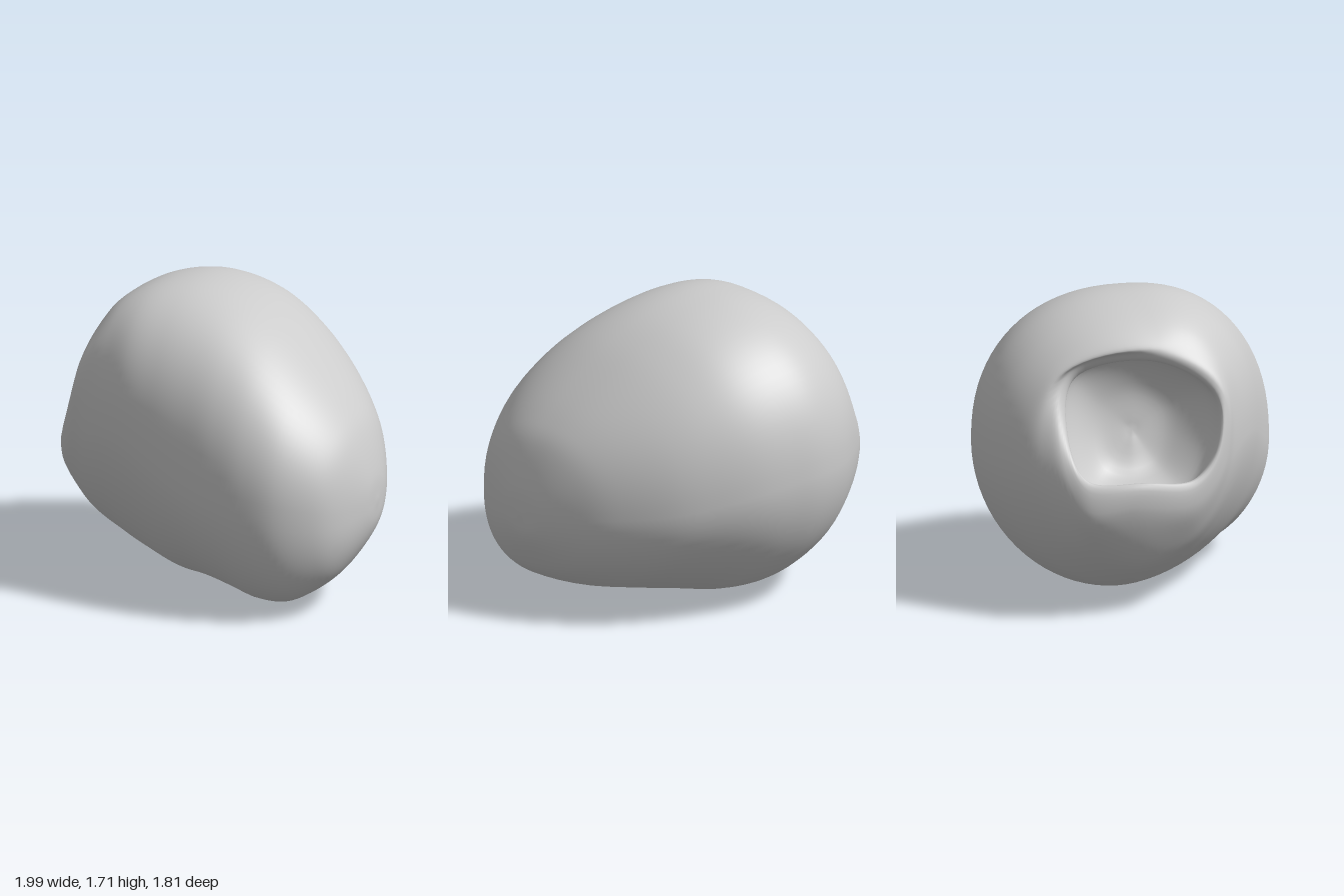
import * as THREE from 'three';

const SIDES = 80, STEPS = 100;

// Body slices across x: [x, yTop, zTop, yFront, zFront, yBottom, zBottom, yRear, zRear]
const slices = [
  [0.985, 0.77, 0.28, 0.61, 0.43, 0.48, 0.28, 0.64, 0.12],
  [0.9, 1.02, 0.24, 0.59, 0.65, 0.31, 0.38, 0.66, -0.12],
  [0.8, 1.16, 0.2, 0.61, 0.77, 0.19, 0.44, 0.68, -0.3],
  [0.6, 1.36, 0.14, 0.64, 0.88, 0.07, 0.5, 0.72, -0.55],
  [0.4, 1.52, 0.08, 0.66, 0.9, 0.03, 0.38, 0.77, -0.71],
  [0.2, 1.63, 0.02, 0.69, 0.87, 0.02, 0.15, 0.81, -0.82],
  [0, 1.69, 0, 0.74, 0.81, 0.005, -0.05, 0.84, -0.88],
  [-0.2, 1.705, 0, 0.83, 0.74, 0.005, -0.1, 0.85, -0.905],
  [-0.4, 1.67, 0.03, 0.92, 0.66, 0.06, -0.13, 0.85, -0.87],
  [-0.56, 1.59, 0.06, 0.93, 0.57, 0.125, -0.14, 0.85, -0.79],
];

// Mouth loops, eight points each, from the top round by the front
const loops = [
  // cheek around the mouth
  [[-0.66, 1.5, 0.05], [-0.66, 1.36, 0.4], [-0.71, 0.86, 0.46], [-0.77, 0.46, 0.25],
    [-0.82, 0.31, -0.08], [-0.84, 0.45, -0.43], [-0.74, 0.86, -0.65], [-0.62, 1.35, -0.53]],
  // outer edge of the lip
  [[-0.67, 1.46, 0.05], [-0.74, 1.26, 0.39], [-0.8, 0.87, 0.4], [-0.91, 0.63, 0.2],
    [-0.99, 0.65, -0.17], [-0.95, 0.63, -0.42], [-0.79, 0.97, -0.55], [-0.58, 1.37, -0.44]],
  // rim
  [[-0.64, 1.42, 0.03], [-0.74, 1.23, 0.36], [-0.83, 0.94, 0.35], [-0.9, 0.79, 0.2],
    [-0.965, 0.81, -0.1], [-0.9, 0.82, -0.41], [-0.74, 1.03, -0.49], [-0.54, 1.32, -0.41]],
  // hollow walls
  [[-0.45, 1.4, 0], [-0.54, 1.21, 0.33], [-0.6, 0.9, 0.33], [-0.72, 0.7, 0.18],
    [-0.8, 0.69, -0.1], [-0.74, 0.7, -0.37], [-0.55, 0.97, -0.47], [-0.4, 1.28, -0.38]],
  // back of the hollow
  [[-0.34, 1.19, -0.02], [-0.37, 1.09, 0.16], [-0.41, 0.92, 0.17], [-0.46, 0.76, 0.1],
    [-0.49, 0.71, -0.06], [-0.46, 0.75, -0.22], [-0.39, 0.94, -0.27], [-0.34, 1.11, -0.22]],
];

// Four quarter ovals joined at the slice's extreme points, fullest on top
function slicePoint([x, yT, zT, yF, zF, yB, zB, yR, zR], t) {
  const cos = Math.cos(t * Math.PI * 2), sin = Math.sin(t * Math.PI * 2);
  const [ySide, zSide] = sin >= 0 ? [yF, zF] : [yR, zR];
  const [yEnd, zEnd] = cos >= 0 ? [yT, zT] : [yB, zB];
  const power = cos >= 0 ? 0.88 : sin >= 0 ? 1 - 0.2 * x : 1.03;
  const c = Math.abs(cos) ** power, s = Math.abs(sin) ** power;
  return new THREE.Vector3(x, ySide + (yEnd - ySide) * c, zEnd + (zSide - zEnd) * s);
}

function bodyGeometry() {
  const mouth = loops.map((l) => new THREE.CatmullRomCurve3(l.map((p) => new THREE.Vector3(...p)), true));
  const pos = [], index = [];
  // One meridian per side, from the closed end over the rim into the hollow
  for (let j = 0; j < SIDES; j++) {
    const t = j / SIDES;
    const meridian = new THREE.CatmullRomCurve3([
      new THREE.Vector3(1, 0.62, 0.28),
      ...slices.map((s) => slicePoint(s, t)),
      ...mouth.map((m) => m.getPoint(t)),
      new THREE.Vector3(-0.36, 0.95, -0.04),
    ]);
    for (let i = 0; i <= STEPS; i++) {
      const p = meridian.getPoint(i / STEPS);
      pos.push(p.x, Math.max(p.y, 0), p.z);
    }
  }
  const row = STEPS + 1;
  // First and last points of all meridians share one vertex each
  const id = (i, j) => (i === 0 || i === STEPS ? i : (j % SIDES) * row + i);
  for (let j = 0; j < SIDES; j++) {
    for (let i = 0; i < STEPS; i++) {
      const a = id(i, j), b = id(i + 1, j), c = id(i + 1, j + 1), d = id(i, j + 1);
      if (i < STEPS - 1) index.push(a, b, c);
      if (i > 0) index.push(a, c, d);
    }
  }
  const g = new THREE.BufferGeometry();
  g.setAttribute('position', new THREE.Float32BufferAttribute(pos, 3));
  g.setIndex(index);
  g.computeVertexNormals();
  return g;
}

export function createModel() {
  const group = new THREE.Group();
  const body = new THREE.Mesh(
    bodyGeometry(),
    new THREE.MeshStandardMaterial({ color: 0xcccccc, side: THREE.DoubleSide }),
  );
  body.name = 'hollowShell';
  group.add(body);
  return group;
}
